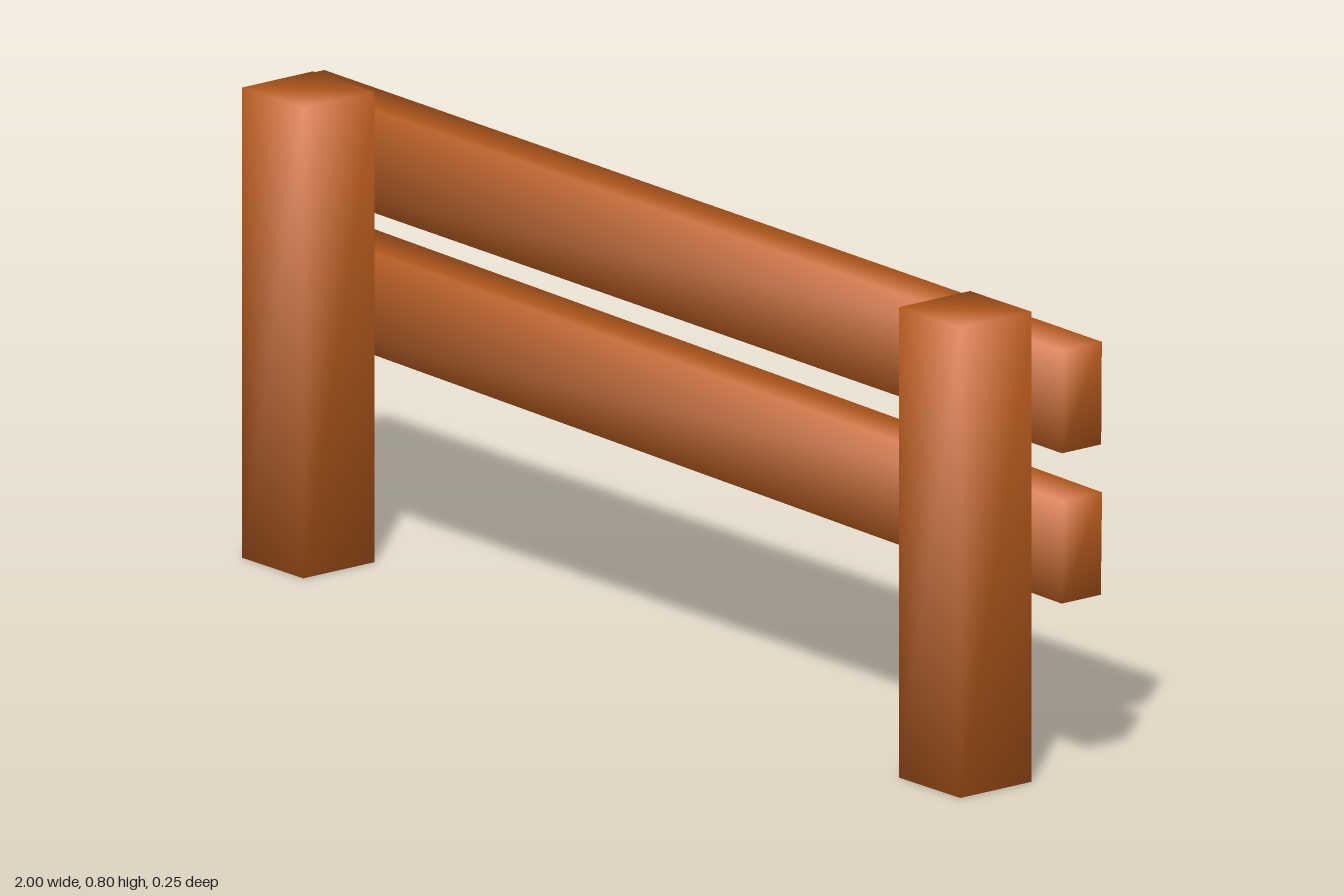
import * as THREE from 'three';

const wood = new THREE.MeshStandardMaterial({ color: 0xcc6622 });
wood.name = 'orange wood';
const metal = new THREE.MeshStandardMaterial({ color: 0x808080 });
metal.name = 'grey metal';

// Timber beam whose corner normals are blended for soft shading
function beam(name, w, h, d) {
  const geo = new THREE.BoxGeometry(w, h, d);
  const pos = geo.attributes.position;
  const n = new THREE.Vector3();
  for (let i = 0; i < pos.count; i++) {
    n.set(Math.sign(pos.getX(i)), Math.sign(pos.getY(i)), Math.sign(pos.getZ(i))).normalize();
    geo.attributes.normal.setXYZ(i, n.x, n.y, n.z);
  }
  const mesh = new THREE.Mesh(geo, wood);
  mesh.name = name;
  return mesh;
}

// Six-sided bolt head, flaring out towards the back
function bolt(name) {
  const geo = new THREE.CylinderGeometry(0.02, 0.025, 0.017, 6).toNonIndexed();
  geo.rotateX(Math.PI / 2);
  geo.computeVertexNormals();
  const mesh = new THREE.Mesh(geo, metal);
  mesh.name = name;
  return mesh;
}

export function createModel() {
  const fence = new THREE.Group();
  fence.name = 'fence';

  // Two square posts
  for (const [side, x] of [['right', -0.845], ['left', 0.842]]) {
    const post = beam(side + 'Post', 0.158, 0.8, 0.151);
    post.position.set(x, 0.4, 0.05);
    fence.add(post);
  }

  // Two sloping rails, bolted to the posts from behind
  for (const [level, y, slope] of [['upper', 0.673, -0.01], ['lower', 0.425, -0.018]]) {
    const rail = beam(level + 'Rail', 1.997, 0.175, 0.083);
    rail.position.set(0, y, -0.0685);
    rail.rotation.z = slope;
    fence.add(rail);
    for (const [side, x] of [['Right', -0.85], ['Left', 0.845]]) {
      const head = bolt(level + side + 'Bolt');
      head.position.set(x, y + slope * x, -0.1165);
      fence.add(head);
    }
  }
  return fence;
}
